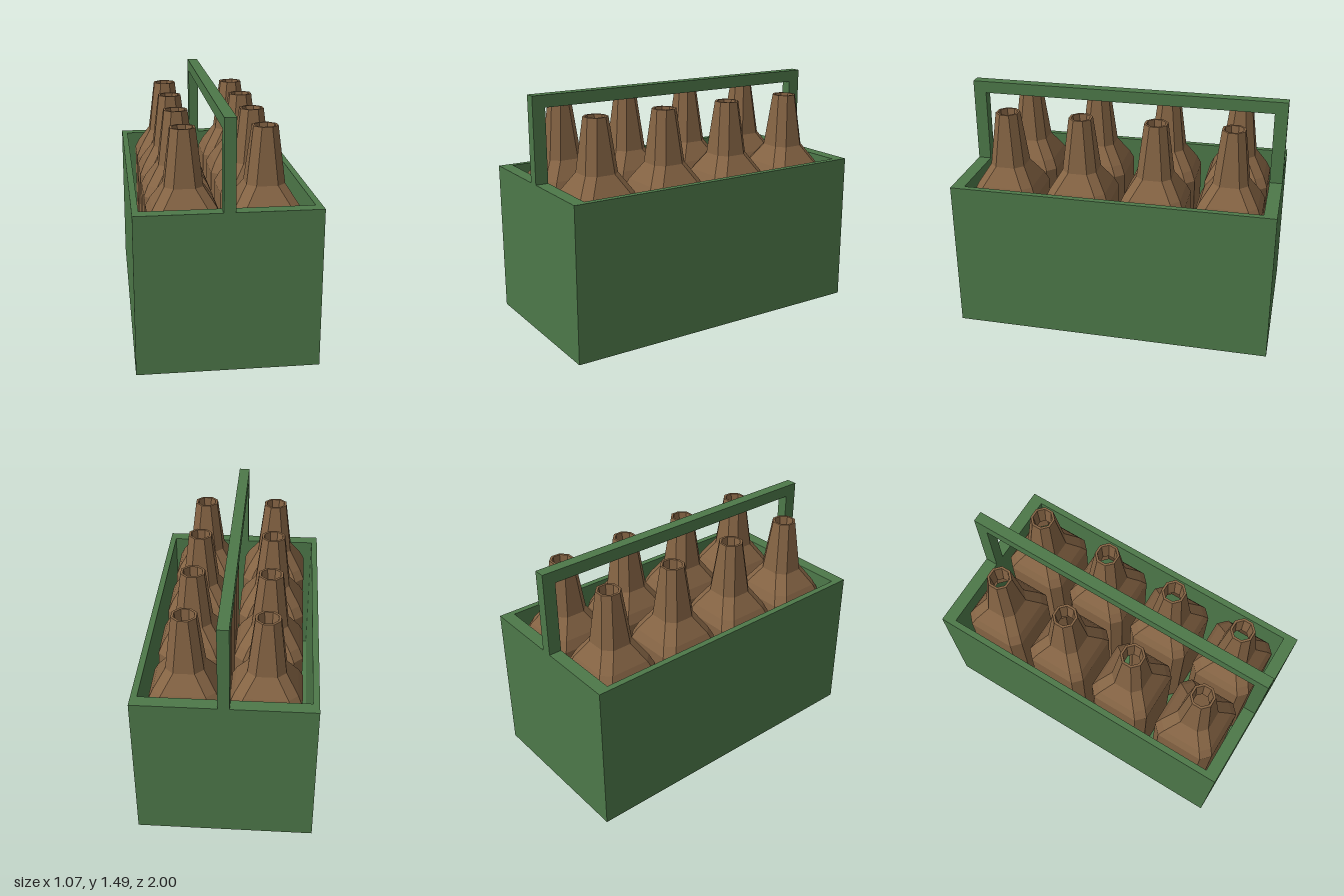
import * as THREE from 'three';

const green = new THREE.MeshStandardMaterial({ color: 0x4d7849 });
green.name = 'green crate';
const brown = new THREE.MeshStandardMaterial({ color: 0x856444 });
brown.name = 'brown bottle';

const HX = 0.533, HZ = 1, RIM = 0.955, TOP = 1.485;

function rectPath(path, x0, y0, x1, y1) {
  path.moveTo(x0, y0);
  path.lineTo(x1, y0);
  path.lineTo(x1, y1);
  path.lineTo(x0, y1);
  path.closePath();
  return path;
}

// Square ring with cut corners, z slightly narrower than x
function octagon([y, h, cut]) {
  const f = h - cut;
  return [[h, -f], [h, f], [f, h], [-f, h], [-h, f], [-h, -f], [-f, -h], [f, -h]]
    .map(([x, z]) => [x, y, z * 0.96]);
}

// Faceted skin through consecutive rings
function loft(rings) {
  const pos = [];
  for (let i = 0; i < rings.length - 1; i++) {
    const lo = octagon(rings[i]), up = octagon(rings[i + 1]);
    for (let j = 0; j < 8; j++) {
      const k = (j + 1) % 8;
      pos.push(...lo[j], ...up[j], ...lo[k], ...lo[k], ...up[j], ...up[k]);
    }
  }
  const geo = new THREE.BufferGeometry();
  geo.setAttribute('position', new THREE.Float32BufferAttribute(pos, 3));
  geo.computeVertexNormals();
  return geo;
}

function addMesh(parent, name, geo, mat) {
  const mesh = new THREE.Mesh(geo, mat);
  mesh.name = name;
  parent.add(mesh);
  return mesh;
}

export function createModel() {
  const model = new THREE.Group();
  model.name = 'bottleCarrier';

  // Crate walls, open at the top
  const outline = rectPath(new THREE.Shape(), -HX, -HZ, HX, HZ);
  outline.holes.push(rectPath(new THREE.Path(), -0.495, -0.92, 0.495, 0.92));
  const walls = new THREE.ExtrudeGeometry(outline, { depth: RIM, bevelEnabled: false });
  walls.rotateX(-Math.PI / 2);
  addMesh(model, 'crateWalls', walls, green);

  // Crate floor
  const floor = new THREE.BoxGeometry(0.99, 0.08, 1.84);
  floor.translate(0, 0.04, 0);
  addMesh(model, 'crateFloor', floor, green);

  // Carrying handle: two posts and a bar in one arch
  const arch = new THREE.Shape();
  [[-1, RIM], [-0.92, RIM], [-0.92, 1.41], [0.92, 1.41], [0.92, RIM], [1, RIM], [1, TOP], [-1, TOP]]
    .forEach(([z, y], i) => (i ? arch.lineTo(z, y) : arch.moveTo(z, y)));
  const handle = new THREE.ExtrudeGeometry(arch, { depth: 0.068, bevelEnabled: false });
  handle.translate(0, 0, -0.034);
  handle.rotateY(Math.PI / 2);
  addMesh(model, 'handle', handle, green);

  // Bottles: body, shoulder, neck, lip and bore as [height, half width, corner cut]
  const bottle = loft([
    [0.08, 0.21, 0.055], [0.87, 0.21, 0.055], [0.93, 0.183, 0.054], [1.04, 0.112, 0.05],
    [1.372, 0.072, 0.042], [1.372, 0.058, 0.034], [1.25, 0.046, 0.027],
  ]);
  const bottles = new THREE.Group();
  bottles.name = 'bottles';
  for (const x of [-0.23, 0.24]) {
    for (const z of [-0.7, -0.233, 0.235, 0.702]) {
      addMesh(bottles, 'bottle', bottle, brown).position.set(x, 0, z);
    }
  }
  model.add(bottles);
  return model;
}
